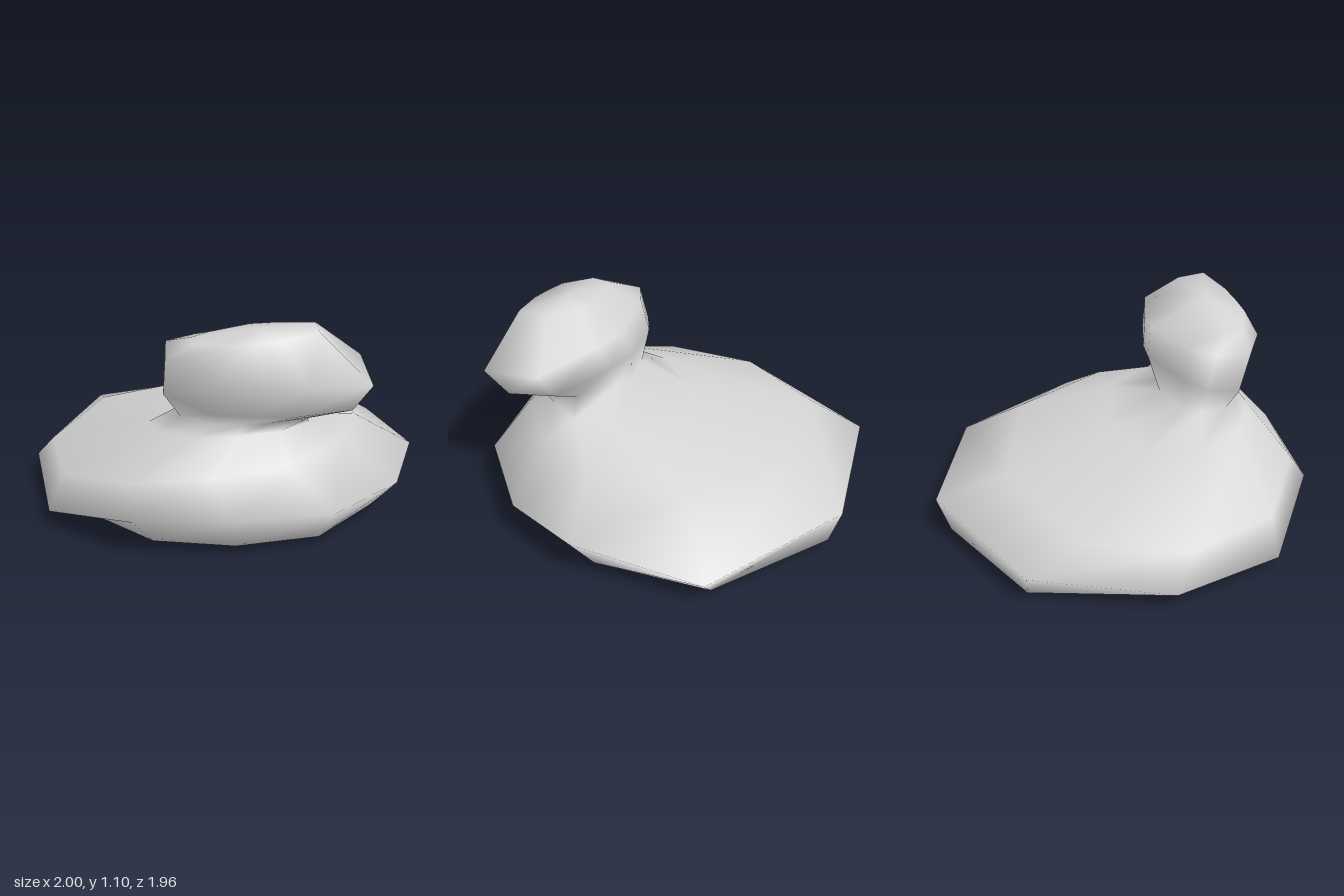
import * as THREE from 'three';

// Plan outlines (x, z), both running from the back left round by the right.
// The body's third value is how far its rim rises or dips.
const bodyOutline = [
  [-0.63, -0.83, -0.01], [0.2, -0.98, 0.01], [0.93, -0.52, -0.05], [1, 0.17, 0.04], [0.82, 0.59, 0.02],
  [0.43, 0.93, 0.05], [-0.07, 0.98, 0.06], [-0.54, 0.86, 0.03], [-0.94, 0.43, -0.11], [-1, -0.2, -0.08],
];
const headOutline = [
  [-0.31, -0.26, 0], [0.01, -0.305, 0], [0.18, -0.24, 0], [0.49, -0.06, 0], [0.48, 0.27, 0],
  [0.17, 0.31, 0], [-0.03, 0.29, 0], [-0.23, 0.25, 0], [-0.48, 0.03, 0], [-0.46, -0.18, 0],
];

// A cross-section: outline scaled, shifted and tilted, with a share of the rim's wave
function ring(outline, [sx, sz], [cx, cz], y, [tiltX, tiltZ], wave = 0) {
  return outline.map(([ox, oz, rise]) => {
    const x = cx + sx * ox, z = cz + sz * oz;
    return [x, Math.max(0.005, y + tiltX * x + tiltZ * z + wave * rise), z];
  });
}

// Skin the rings into one closed smooth surface with a centre point at each end
function loft(rings, bottom, top) {
  const n = rings[0].length;
  const points = [...rings.flat(), bottom, top];
  const low = points.length - 2, high = points.length - 1;
  const last = (rings.length - 1) * n;
  const index = [];
  for (let i = 0; i < n; i++) {
    const j = (i + 1) % n;
    for (let k = 0; k < rings.length - 1; k++) {
      const a = k * n + i, b = k * n + j;
      index.push(b, a, a + n, b, a + n, b + n);
    }
    index.push(low, i, j, high, last + j, last + i);
  }
  const geometry = new THREE.BufferGeometry();
  geometry.setAttribute('position', new THREE.Float32BufferAttribute(points.flat(), 3));
  geometry.setIndex(index);
  geometry.computeVertexNormals();
  return geometry;
}

export function createModel() {
  const group = new THREE.Group();
  group.name = 'model';
  const grey = new THREE.MeshStandardMaterial({ color: 0xd4d4d4 });
  grey.name = 'light grey';

  const rings = [
    // Broad flat body: underside, rim, shoulder, foot of the neck
    ring(bodyOutline, [0.84, 0.89], [0.02, -0.04], 0.03, [0, 0.025]),
    ring(bodyOutline, [1, 1], [0, 0], 0.2, [0, 0], 1),
    ring(bodyOutline, [0.79, 0.76], [-0.12, 0.1], 0.378, [0.08, 0.05], 0.3),
    ring(bodyOutline, [0.42, 0.37], [0.01, 0.36], 0.465, [0.04, 0.17]),
    // Narrow neck
    ring(headOutline, [0.63, 0.69], [0.03, 0.49], 0.61, [0.04, 0.03]),
    // Head: cheeks, brow, crown
    ring(headOutline, [0.93, 0.86], [0.09, 0.503], 0.86, [0, -0.22]),
    ring(headOutline, [1, 0.96], [0.13, 0.565], 1, [-0.06, -0.13]),
    ring(headOutline, [0.62, 0.48], [0.07, 0.61], 1.055, [0.12, 0]),
  ];
  const figure = new THREE.Mesh(loft(rings, [0, 0, -0.1], [0.1, 1.09, 0.6]), grey);
  figure.name = 'bodyNeckAndHead';
  group.add(figure);
  return group;
}
